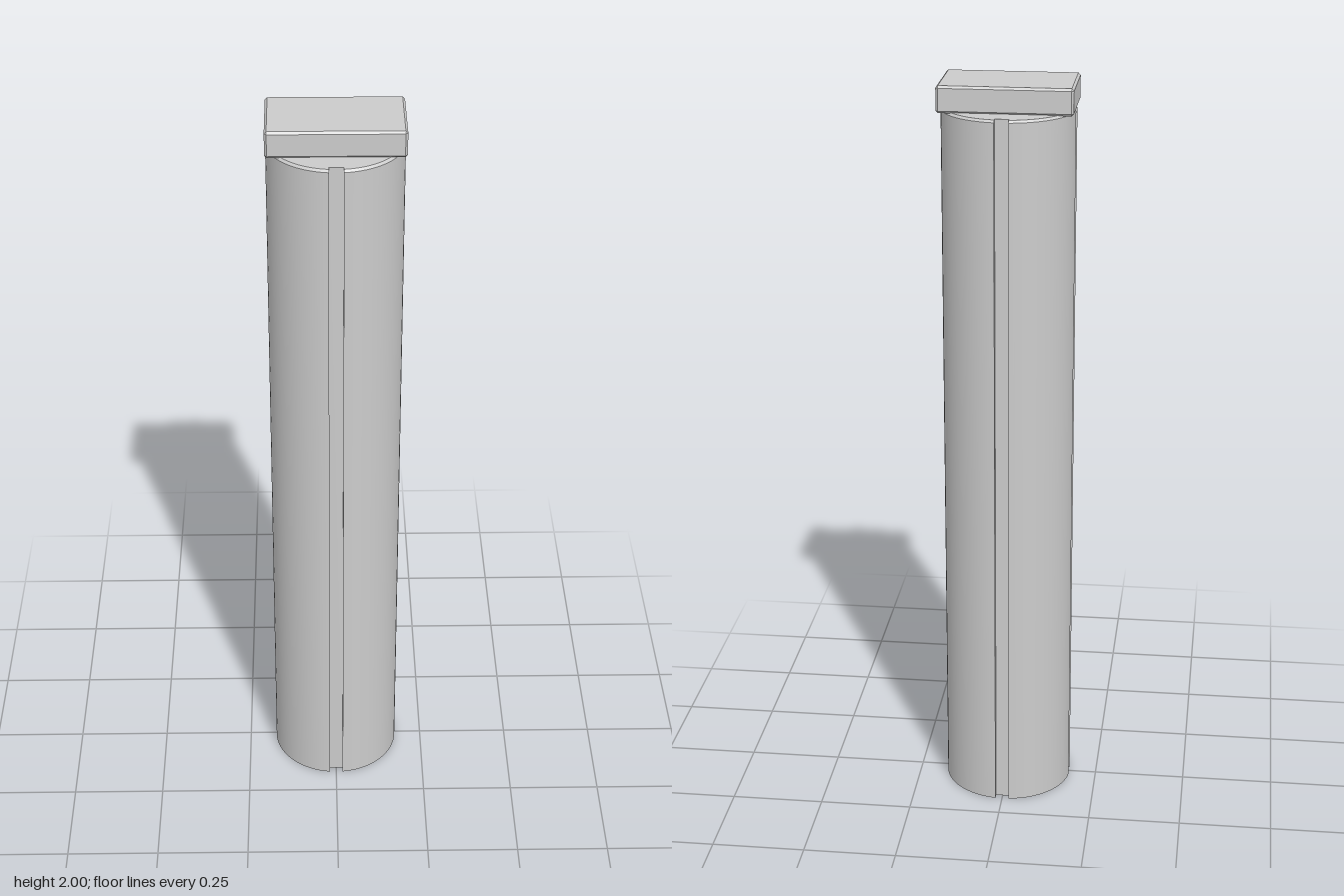
import * as THREE from 'three';
import { toCreasedNormals } from 'three/addons/utils/BufferGeometryUtils.js';
import { ConvexGeometry } from 'three/addons/geometries/ConvexGeometry.js';

const R = 0.175, TOP = 1.932, CHAMFER = 0.006;
const GROOVE_HALF = 0.0185, GROOVE_FLOOR = 0.158;

// Round section with four square grooves, extruded, top rim chamfered
function columnGeometry() {
  const pts = [];
  const a = Math.asin(GROOVE_HALF / R), n = 16;
  for (let q = 0; q < 4; q++) {
    const base = q * Math.PI / 2;
    for (let i = 0; i <= n; i++) {
      const t = base + a + (Math.PI / 2 - 2 * a) * i / n;
      pts.push(new THREE.Vector2(R * Math.cos(t), R * Math.sin(t)));
    }
    const next = base + Math.PI / 2;
    for (const s of [-1, 1]) {
      pts.push(new THREE.Vector2(GROOVE_FLOOR, s * GROOVE_HALF).rotateAround(new THREE.Vector2(), next));
    }
  }
  const geo = new THREE.ExtrudeGeometry(new THREE.Shape(pts), { depth: TOP, steps: 2, bevelEnabled: false });
  geo.rotateX(-Math.PI / 2);
  const p = geo.attributes.position;
  for (let i = 0; i < p.count; i++) {
    const x = p.getX(i), y = p.getY(i), z = p.getZ(i);
    if (y > TOP * 0.75) {
      const k = Math.min(1, (R - CHAMFER) / Math.hypot(x, z));
      p.setXYZ(i, x * k, TOP, z * k);
    } else if (y > TOP * 0.25) {
      p.setY(i, TOP - CHAMFER); // middle ring becomes the foot of the chamfer
    }
  }
  return toCreasedNormals(geo, Math.PI / 6);
}

// Box with every edge chamfered
function chamferedBox(w, h, d, c) {
  const pts = [];
  for (const sx of [-1, 1]) for (const sy of [-1, 1]) for (const sz of [-1, 1]) {
    for (let axis = 0; axis < 3; axis++) {
      const inset = [c, c, c];
      inset[axis] = 0;
      pts.push(new THREE.Vector3(
        sx * (w / 2 - inset[0]), sy * (h / 2 - inset[1]), sz * (d / 2 - inset[2])));
    }
  }
  return new ConvexGeometry(pts);
}

export function createModel() {
  const group = new THREE.Group();
  group.name = 'groovedColumn';
  const material = new THREE.MeshStandardMaterial({ color: 0xcccccc });

  const column = new THREE.Mesh(columnGeometry(), material);
  column.name = 'column';
  group.add(column);

  // Rectangular block across the top
  const h = 2 - TOP + 0.002;
  const cap = new THREE.Mesh(chamferedBox(2 * R, h, 0.21, CHAMFER), material);
  cap.name = 'capBlock';
  cap.position.y = 2 - h / 2;
  group.add(cap);

  return group;
}
